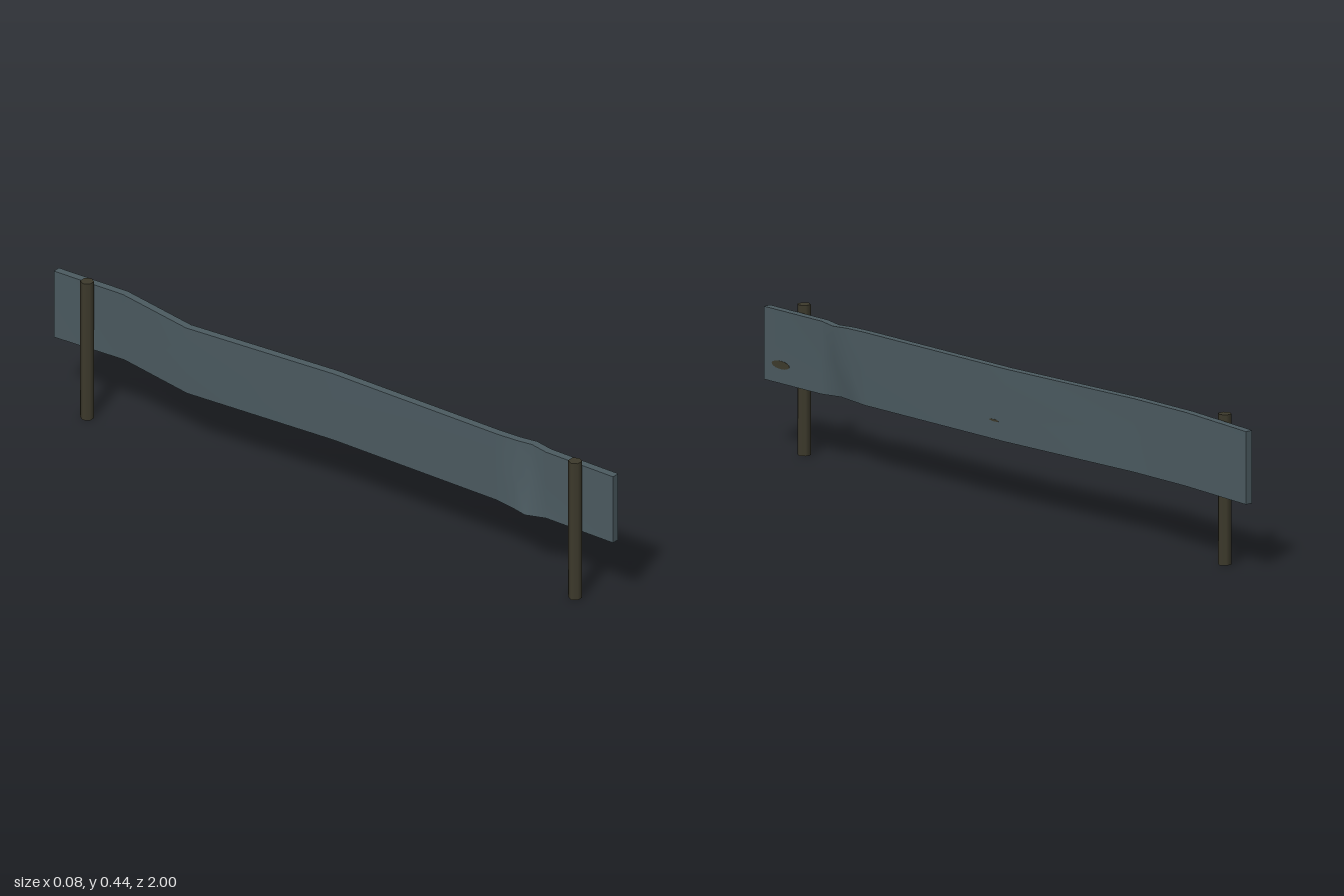
import * as THREE from 'three';

const BOARD_THICKNESS = 0.024;
const BOTTOM = 0.206, TOP = 0.419;

// Stations along the board: z, left-hand x at top / middle / bottom, lift
const STATIONS = [
  [1, 0, 0, 0, 0],
  [0.76, 0, 0, 0, 0],
  [0.7, 0.013, 0.005, -0.02, -0.001],
  [0.65, 0.004, 0.001, -0.01, 0],
  [0.58, 0, 0, 0, 0],
  [0, 0, 0, 0, 0],
  [-0.5, -0.036, -0.034, -0.031, -0.002],
  [-0.75, -0.004, -0.001, 0.002, 0.009],
  [-1, 0, 0, 0, 0],
];

// Closed cross-section of the bent board, counter-clockwise seen from +z
function section([z, top, mid, bottom, lift]) {
  const t = BOARD_THICKNESS, y0 = BOTTOM + lift, y1 = TOP + lift, ym = (y0 + y1) / 2;
  return [[bottom, y0], [bottom + t, y0], [mid + t, ym], [top + t, y1], [top, y1], [mid, ym]]
    .map(([x, y]) => new THREE.Vector3(x, y, z));
}

function boardGeometry() {
  const rings = STATIONS.map(section);
  const pos = [], index = [];
  // Each side is its own strip, so long edges stay crisp and bends stay smooth
  for (const strip of [[0, 1], [1, 2, 3], [3, 4], [4, 5, 0]]) {
    const base = pos.length / 3, w = strip.length;
    rings.forEach(r => strip.forEach(k => pos.push(...r[k].toArray())));
    for (let i = 0; i < rings.length - 1; i++) {
      for (let j = 0; j < w - 1; j++) {
        const a = base + i * w + j, b = a + 1, c = a + w, d = c + 1;
        index.push(a, c, b, b, c, d);
      }
    }
  }
  // End caps
  [rings[0], [...rings[rings.length - 1]].reverse()].forEach(r => {
    const base = pos.length / 3;
    r.forEach(p => pos.push(...p.toArray()));
    for (let k = 1; k < r.length - 1; k++) index.push(base, base + k, base + k + 1);
  });
  const g = new THREE.BufferGeometry();
  g.setAttribute('position', new THREE.Float32BufferAttribute(pos, 3));
  g.setIndex(index);
  g.computeVertexNormals();
  return g;
}

export function createModel() {
  const group = new THREE.Group();
  const steel = new THREE.MeshStandardMaterial({ color: 0x4b5a60 });
  steel.name = 'blueGreySteel';
  const wood = new THREE.MeshStandardMaterial({ color: 0x3d3a2c });
  wood.name = 'darkBrown';

  function add(name, geometry, material, x, y, z) {
    const mesh = new THREE.Mesh(geometry, material);
    mesh.name = name;
    mesh.position.set(x, y, z);
    group.add(mesh);
    return mesh;
  }

  add('board', boardGeometry(), steel, 0, 0, 0);

  // Six-sided posts behind the board
  const post = new THREE.CylinderGeometry(0.02, 0.02, 0.44, 6).rotateY(Math.PI / 6);
  add('frontPost', post, wood, -0.02, 0.22, 0.88);
  add('backPost', post, wood, -0.02, 0.22, -0.865);

  // Flat marks on the outer face
  const disc = new THREE.CylinderGeometry(1, 1, 0.002, 12).rotateZ(-Math.PI / 2);
  add('frontMark', disc, wood, BOARD_THICKNESS, 0.26, 0.93).scale.set(1, 0.012, 0.037);
  add('middleMark', disc, wood, BOARD_THICKNESS, 0.261, 0.045).scale.set(1, 0.003, 0.02);

  return group;
}
